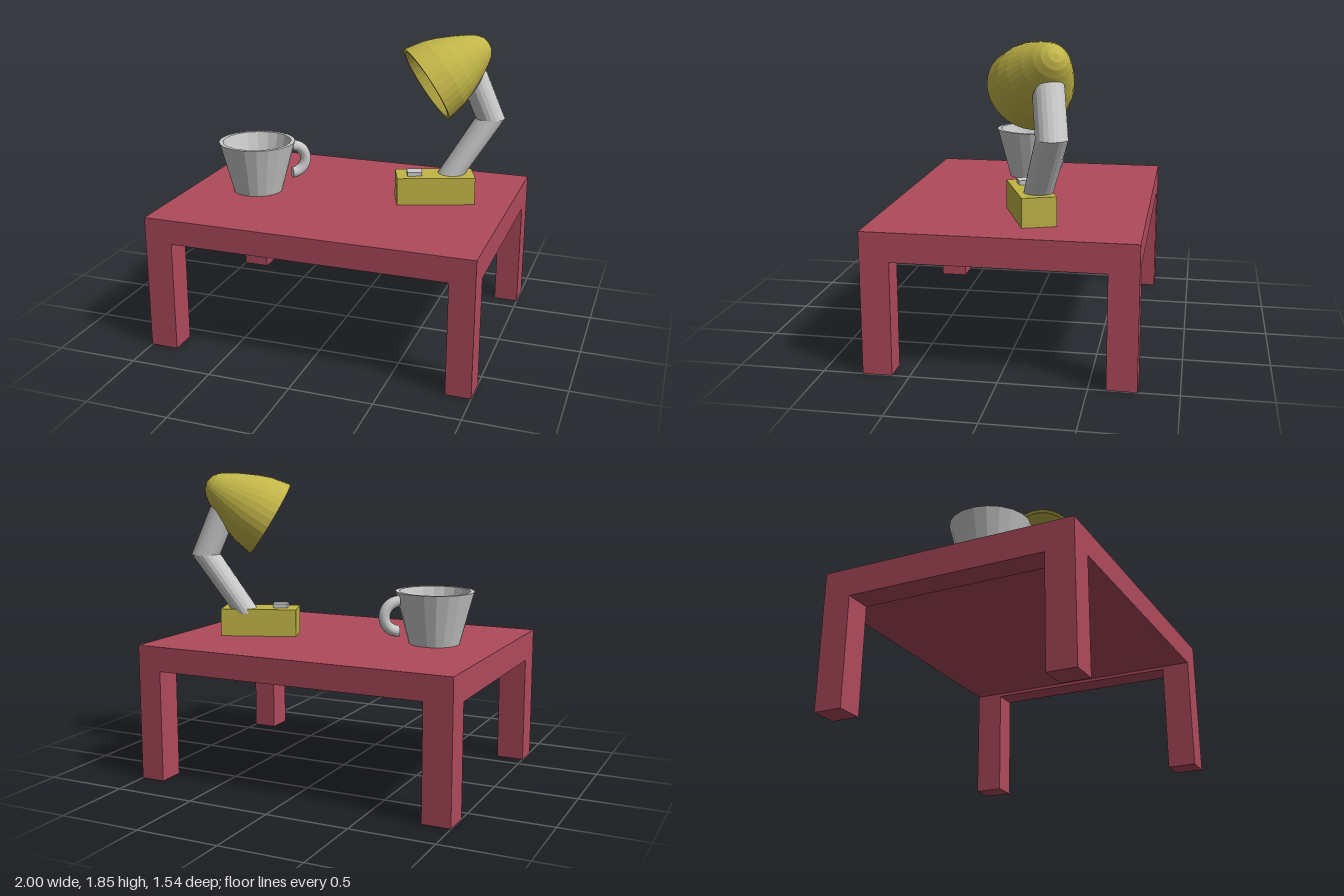
import * as THREE from 'three';

const paint = (color, flatShading = true) => new THREE.MeshStandardMaterial({ color, flatShading });
const red = paint(0xaf4a5b);
const yellow = paint(0xc2b548);
const grey = paint(0xcccccc);
const smoothGrey = paint(0xcccccc, false);

function add(parent, name, geometry, material, x = 0, y = 0, z = 0) {
  const mesh = new THREE.Mesh(geometry, material);
  mesh.name = name;
  mesh.position.set(x, y, z);
  parent.add(mesh);
  return mesh;
}

function group(parent, name, x = 0, y = 0, z = 0) {
  const g = new THREE.Group();
  g.name = name;
  g.position.set(x, y, z);
  parent.add(g);
  return g;
}

const lathe = (points, sides) =>
  new THREE.LatheGeometry(points.map(([r, y]) => new THREE.Vector2(r, y)), sides);

function buildTable(parent) {
  const table = group(parent, 'table');
  add(table, 'tableTop', new THREE.BoxGeometry(1.68, 0.15, 1.54), red, 0.01, 0.755, 0);

  // Each end is an arch: two legs joined by a rail
  const arch = new THREE.Shape([
    [-0.77, 0], [-0.6, 0], [-0.6, 0.66], [0.6, 0.66],
    [0.6, 0], [0.77, 0], [0.77, 0.83], [-0.77, 0.83],
  ].map(([x, y]) => new THREE.Vector2(x, y)));
  for (const [name, x, depth] of [['rightLegs', -1, 0.17], ['leftLegs', 0.85, 0.15]]) {
    const geometry = new THREE.ExtrudeGeometry(arch, { depth, bevelEnabled: false });
    add(table, name, geometry.rotateY(Math.PI / 2), red, x);
  }
}

function buildCup(parent) {
  const cup = group(parent, 'cup', -0.58, 0.83, 0.06);
  cup.rotation.y = 0.71;
  add(cup, 'cupBody', lathe([
    [0, 0], [0.155, 0], [0.24, 0.32], [0.215, 0.32], [0.145, 0.03], [0, 0.03],
  ], 20), grey);

  // Half-ring handle with closed ends
  const handle = group(cup, 'cupHandle', 0.23, 0.175, 0);
  add(handle, 'handleRing',
    new THREE.TorusGeometry(0.09, 0.035, 12, 16, Math.PI).rotateZ(-Math.PI / 2), smoothGrey);
  for (const y of [-0.09, 0.09]) {
    add(handle, 'handleEnd', new THREE.CircleGeometry(0.035, 12).rotateY(-Math.PI / 2), grey, 0, y, 0);
  }
}

// Bent arm: level circles follow the axis; the last is slanted to seat in the shade
function armGeometry() {
  const rows = [
    { at: [0.607, 0.97, -0.16], r: 0.084 },
    { at: [0.83, 1.34, -0.272], r: 0.09 },
    { at: [0.735, 1.575, -0.24], r: 0.09, slant: [0.08, -0.045] },
  ];
  const geometry = new THREE.CylinderGeometry(1, 1, 1, 20, 2);
  const p = geometry.attributes.position;
  for (let i = 0; i < p.count; i++) {
    const { at, r, slant = [0, 0] } = rows[Math.round((p.getY(i) + 0.5) * 2)];
    const x = p.getX(i), z = p.getZ(i);
    const rise = slant[0] * x + slant[1] * z;
    p.setXYZ(i, at[0] + r * x - 0.4 * rise, at[1] + rise, at[2] + r * z + 0.13 * rise);
  }
  geometry.computeVertexNormals();
  return geometry;
}

function buildLamp(parent) {
  const lamp = group(parent, 'lamp');

  // Base block and switch
  const base = group(lamp, 'lampBase', 0.5325, 0.83, -0.11);
  base.rotation.y = 0.36;
  add(base, 'baseBlock', new THREE.BoxGeometry(0.475, 0.17, 0.2), yellow, 0, 0.085, 0);
  add(base, 'switch', new THREE.BoxGeometry(0.09, 0.025, 0.075), grey, -0.127, 0.1825, 0.015);

  add(lamp, 'arm', armGeometry(), grey);

  // Hollow shade, mouth at its origin and nose along its own y axis
  const outer = [
    [0.25, 0], [0.227, 0.12], [0.198, 0.2], [0.15, 0.3],
    [0.108, 0.375], [0.078, 0.415], [0.045, 0.44], [0, 0.452],
  ];
  const inner = [[0, 0.42], [0.06, 0.4], [0.13, 0.3], [0.178, 0.2], [0.205, 0.12], [0.228, 0]];
  const shade = add(lamp, 'shade', lathe([...inner, ...outer], 32), yellow, 0.47, 1.56, -0.09);
  shade.quaternion.setFromUnitVectors(
    new THREE.Vector3(0, 1, 0), new THREE.Vector3(0.73, 0.52, -0.45).normalize());
}

export function createModel() {
  const model = new THREE.Group();
  model.name = 'tableWithLampAndCup';
  buildTable(model);
  buildCup(model);
  buildLamp(model);
  return model;
}
